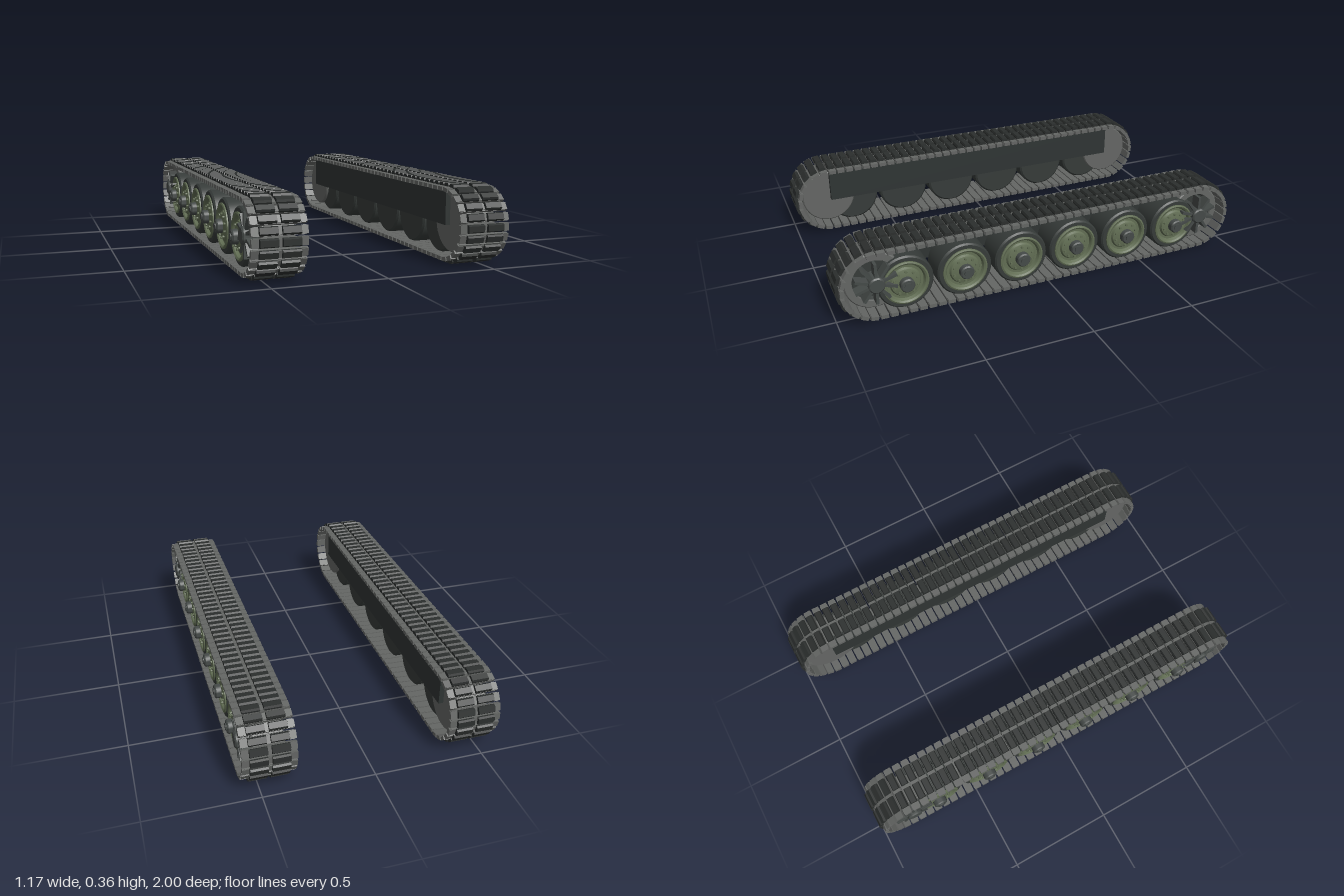
import * as THREE from 'three';
import { mergeGeometries, toCreasedNormals } from 'three/addons/utils/BufferGeometryUtils.js';

const mat = (color) => new THREE.MeshStandardMaterial({ color });
const steel = mat(0x646664), rubber = mat(0x2b2e2d), tyreMat = mat(0x363b39);
const hullMat = mat(0x2f3433), green = mat(0x626e54), darkSteel = mat(0x454a48);

// Track loop: two straights joined by half circles
const CY = 0.178, CZ = 0.822, R = 0.155, LINKS = 96;
const X_MID = 0.458;

function mesh(name, geometry, material) {
  const m = new THREE.Mesh(geometry, material);
  m.name = name;
  return m;
}

function box(w, h, d, x, y, z) {
  return new THREE.BoxGeometry(w, h, d).translate(x, y, z);
}

// Turned part around the x axis; profile points are [radius, x]
function turned(points, segments = 40) {
  const g = new THREE.LatheGeometry(points.map(([r, x]) => new THREE.Vector2(r, x)), segments);
  return toCreasedNormals(g.rotateZ(-Math.PI / 2), 0.6);
}

// Position and outward angle at distance s along the loop
function loopMatrix(s) {
  const straight = 2 * CZ, arc = Math.PI * R;
  const back = s >= straight + arc;
  const t = back ? s - straight - arc : s;
  const sign = back ? -1 : 1;
  const turn = Math.max(0, t - straight) / R;
  const along = Math.min(t, straight) - CZ;
  const angle = turn + (back ? Math.PI : 0);
  const z = sign * along + R * Math.sin(angle);
  const y = CY + R * Math.cos(angle);
  return new THREE.Matrix4().makeRotationX(angle).setPosition(X_MID, y, z);
}

function repeatOnLoop(geometry) {
  const length = 4 * CZ + 2 * Math.PI * R;
  const copies = [];
  for (let i = 0; i < LINKS; i++) {
    copies.push(geometry.clone().applyMatrix4(loopMatrix(((i + 0.5) / LINKS) * length)));
  }
  return mergeGeometries(copies);
}

function createTrack() {
  const track = new THREE.Group();
  track.name = 'track';
  // Link plate, end connectors and centre connector
  const link = mergeGeometries([
    box(0.222, 0.013, 0.038, 0, 0, 0),
    ...[-1, 1].map((s) => box(0.028, 0.018, 0.034, s * 0.104, 0, 0)),
    box(0.016, 0.018, 0.03, 0, 0.002, 0),
  ]);
  // Paired rubber pads, narrower at the tread
  const padShape = new THREE.Shape([[-0.018, 0.004], [0.018, 0.004], [0.018, 0.014], [0.013, 0.023],
    [-0.013, 0.023], [-0.018, 0.014]].map(([a, b]) => new THREE.Vector2(a, b)));
  const pad = new THREE.ExtrudeGeometry(padShape, { depth: 0.077, bevelEnabled: false }).rotateY(Math.PI / 2);
  const pads = mergeGeometries([pad.clone().translate(-0.086, 0, 0), pad.clone().translate(0.009, 0, 0)]);
  track.add(mesh('trackLinks', repeatOnLoop(link), steel));
  track.add(mesh('trackPads', repeatOnLoop(pads), rubber));
  return track;
}

// Copies of a geometry around the x axis
function ring(geometry, count) {
  return mergeGeometries(Array.from({ length: count }, (_, i) =>
    geometry.clone().rotateX((i / count) * Math.PI * 2)));
}

function createRoadWheel() {
  const wheel = new THREE.Group();
  wheel.name = 'roadWheel';
  wheel.add(mesh('tyre', turned([[0, 0.4], [0.12, 0.4], [0.129, 0.408], [0.129, 0.538],
    [0.122, 0.546], [0.104, 0.546], [0.104, 0.53], [0, 0.53]]), tyreMat));
  wheel.add(mesh('rim', turned([[0.105, 0.53], [0.105, 0.552], [0.098, 0.555], [0.09, 0.55],
    [0.084, 0.536], [0.072, 0.536], [0.066, 0.546], [0.04, 0.553], [0, 0.553]]), green));
  const bolt = new THREE.CylinderGeometry(0.006, 0.006, 0.012, 6).rotateZ(-Math.PI / 2);
  wheel.add(mesh('rimBolts', ring(bolt.translate(0.551, 0.055, 0), 10), green));
  wheel.add(mesh('hub', turned([[0.033, 0.545], [0.033, 0.576], [0.028, 0.582], [0.017, 0.582],
    [0.017, 0.587], [0, 0.587]], 24), darkSteel));
  return wheel;
}

function createEndWheel() {
  const wheel = new THREE.Group();
  wheel.name = 'endWheel';
  // Drum with a recessed outer face
  wheel.add(mesh('drum', turned([[0, 0.385], [0.13, 0.385], [0.135, 0.39], [0.135, 0.52],
    [0.13, 0.525], [0.1, 0.525], [0.096, 0.515]]), steel));
  wheel.add(mesh('recess', turned([[0.097, 0.518], [0.09, 0.5], [0, 0.5]]), tyreMat));
  // Spoked hub
  const spoke = box(0.05, 0.08, 0.013, 0.538, 0.058, 0);
  wheel.add(mesh('spokes', ring(spoke, 10), darkSteel));
  wheel.add(mesh('hub', turned([[0.038, 0.5], [0.038, 0.57], [0.032, 0.576], [0, 0.576]], 24), darkSteel));
  return wheel;
}

function createSide(name) {
  const side = new THREE.Group();
  side.name = name;
  side.add(createTrack());
  side.add(mesh('innerPanel', box(0.04, 0.15, 1.63, 0.382, 0.245, 0), hullMat));
  for (let i = 0; i < 6; i++) {
    const wheel = createRoadWheel();
    wheel.position.set(0, 0.155, -0.69 + i * 0.276);
    side.add(wheel);
  }
  for (const s of [-1, 1]) {
    const wheel = createEndWheel();
    wheel.position.set(0, 0.184, s * 0.824);
    side.add(wheel);
  }
  return side;
}

export function createModel() {
  const model = new THREE.Group();
  model.name = 'trackAssembly';
  const left = createSide('leftTrackUnit');
  const right = createSide('rightTrackUnit');
  right.rotation.y = Math.PI;
  model.add(left, right);
  return model;
}
